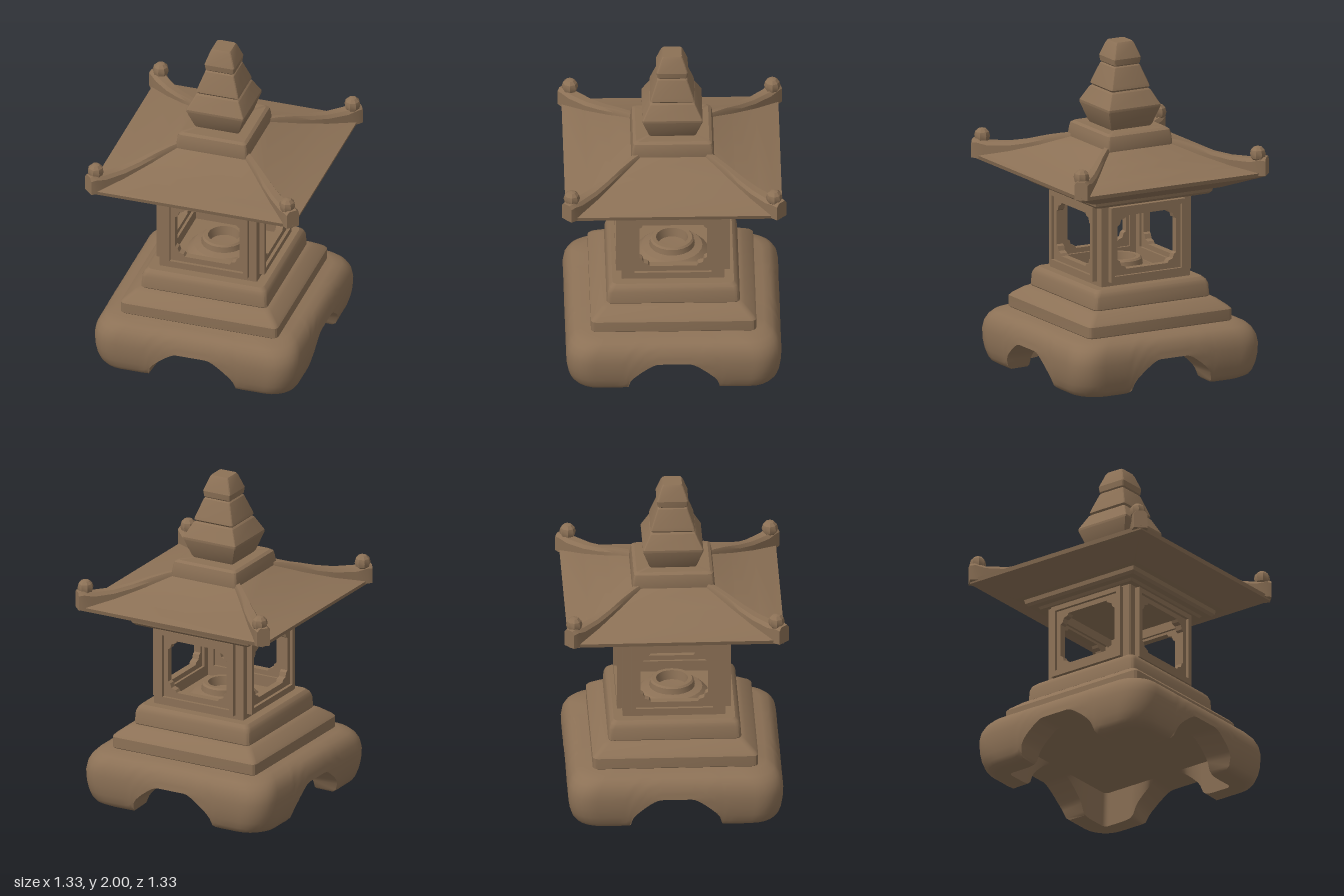
import * as THREE from 'three';
import { toCreasedNormals } from 'three/addons/utils/BufferGeometryUtils.js';

const stone = new THREE.MeshStandardMaterial({ color: 0x8c7156 });
stone.name = 'stone';

function part(name, geometry, crease = 0.5) {
  const mesh = new THREE.Mesh(toCreasedNormals(geometry, crease), stone);
  mesh.name = name;
  return mesh;
}

// Piecewise-linear lookup in [[x, y], ...]
function lookup(table, x) {
  if (x <= table[0][0]) return table[0][1];
  for (let i = 1; i < table.length; i++) {
    const [x0, y0] = table[i - 1], [x1, y1] = table[i];
    if (x <= x1) return y0 + (y1 - y0) * (x - x0) / (x1 - x0);
  }
  return table[table.length - 1][1];
}

// Rounded square outline, counter-clockwise from above, as [x, z]
function outline(hx, hz, r, arc = 3, side = 1) {
  const pts = [], sx = [1, -1, -1, 1], sz = [-1, -1, 1, 1];
  const at = (k, t) => {
    const a = (k + t) * Math.PI / 2;
    return [sx[k] * (hx - r) + r * Math.cos(a), sz[k] * (hz - r) - r * Math.sin(a)];
  };
  for (let k = 0; k < 4; k++) {
    for (let i = 0; i <= arc; i++) pts.push(at(k, i / arc));
    const p = at(k, 1), q = at((k + 1) % 4, 0);
    for (let i = 1; i < side; i++) {
      const t = i / side;
      pts.push([p[0] + (q[0] - p[0]) * t, p[1] + (q[1] - p[1]) * t]);
    }
  }
  return pts;
}

// Closed skin over a list of rings of [x, y, z], with end caps
function skin(rings) {
  const n = rings[0].length, pos = rings.flat(2), index = [];
  const last = rings.length - 1;
  for (let i = 0; i < last; i++) for (let j = 0; j < n; j++) {
    const k = (j + 1) % n, a = i * n + j, b = i * n + k, c = b + n, d = a + n;
    index.push(a, b, c, a, c, d);
  }
  for (const i of [0, last]) {
    const c = pos.length / 3;
    for (let m = 0; m < 3; m++) pos.push(rings[i].reduce((s, p) => s + p[m], 0) / n);
    for (let j = 0; j < n; j++) {
      const a = i * n + j, b = i * n + (j + 1) % n;
      if (i === 0) index.push(c, b, a); else index.push(c, a, b);
    }
  }
  const g = new THREE.BufferGeometry();
  g.setAttribute('position', new THREE.Float32BufferAttribute(pos, 3));
  g.setIndex(index);
  return g;
}

// Square tier from [half width, y] rows; dz widens the depth
const tier = (rows, r, dz = 0) => skin(rows.map(([h, y]) =>
  outline(h, h + dz, r).map(([x, z]) => [x, y, z])));

// Hollow footed base, arched on each side
function baseGeometry() {
  const bulge = [[0, 0.57], [0.02, 0.605], [0.06, 0.622], [0.12, 0.634], [0.2, 0.638],
    [0.26, 0.628], [0.3, 0.605], [0.32, 0.58], [0.335, 0.54]];
  const arch = [[0.1, 0.2], [0.14, 0.18], [0.2, 0.135], [0.25, 0.09], [0.275, 0.05], [0.285, 0.02], [0.31, 0.005], [0.36, 0]];
  const ring = (h, r) => outline(h, h, r, 6, 44);
  const bottom = ring(0.63, 0.15).map(([x, z]) => lookup(arch, Math.min(Math.abs(x), Math.abs(z))));
  const inner = ring(0.47, 0.03);
  const rings = [
    ring(0.3, 0.03).map(([x, z]) => [x, 0.205, z]),
    inner.map(([x, z]) => [x * 0.96, 0.205, z * 0.96]),
    inner.map(([x, z], j) => [x, bottom[j], z]),
  ];
  for (const k of [0, 0.05, 0.12, 0.25, 0.4, 0.6, 0.75, 0.86, 0.94, 1]) {
    rings.push(bottom.map((b, j) => {
      const y = b + (0.335 - b) * k;
      const [x, z] = ring(lookup(bulge, y), 0.15)[j];
      return [x, y, z];
    }));
  }
  return skin(rings);
}

// Closed loop around a window centre; notch gives shaped corners
function windowLoop(Type, w, y0, y1, notch = 0) {
  const loop = new Type(), cy = (y0 + y1) / 2, h = (y1 - y0) / 2, pts = [];
  const corner = notch
    ? [[w, h - notch], [w - notch * 0.25, h - notch * 0.85], [w - notch * 0.4, h - notch * 0.4],
      [w - notch * 0.85, h - notch * 0.25], [w - notch, h]]
    : [[w, h]];
  [[1, 1], [-1, 1], [-1, -1], [1, -1]].forEach(([sx, sy], k) => {
    const c = k % 2 ? [...corner].reverse() : corner;
    c.forEach(([x, y]) => pts.push(new THREE.Vector2(sx * x, cy + sy * y)));
  });
  return loop.setFromPoints(pts);
}

function framePlate(outer, hole, z0, z1) {
  const shape = windowLoop(THREE.Shape, ...outer);
  shape.holes.push(windowLoop(THREE.Path, ...hole));
  return new THREE.ExtrudeGeometry(shape, { depth: z1 - z0, bevelEnabled: false }).translate(0, 0, z0);
}

// Hip ridge along the diagonal: [x = z, half width, bottom, top]
function ridgeGeometry() {
  const rows = [[0.19, 0.022, 1.35, 1.42], [0.25, 0.022, 1.34, 1.41], [0.32, 0.024, 1.31, 1.39],
    [0.4, 0.03, 1.28, 1.36], [0.48, 0.036, 1.26, 1.34], [0.57, 0.042, 1.24, 1.335],
    [0.615, 0.046, 1.235, 1.35], [0.637, 0.04, 1.235, 1.345]];
  const s = Math.SQRT1_2;
  return skin(rows.map(([d, w, lo, hi]) =>
    [[-w, lo], [w, lo], [w, hi - 0.02], [w * 0.6, hi], [-w * 0.6, hi], [-w, hi - 0.02]]
      .map(([p, y]) => [d + p * s, y, d - p * s])));
}

export function createModel() {
  const model = new THREE.Group();
  model.name = 'stoneLantern';

  // Base and steps
  model.add(part('footedBase', baseGeometry(), 0.7));
  model.add(part('lowerStep', tier([[0.475, 0.325], [0.49, 0.34], [0.49, 0.405], [0.478, 0.42],
    [0.425, 0.462], [0.4, 0.475]], 0.03)));
  model.add(part('upperStep', tier([[0.385, 0.465], [0.395, 0.48], [0.39, 0.55], [0.38, 0.575],
    [0.36, 0.593]], 0.03)));

  // Lamp house walls with framed windows
  const house = new THREE.Group();
  house.name = 'lampHouse';
  const wall = framePlate([0.3, 0.59, 1.1], [0.22, 0.66, 1.03], 0.26, 0.305);
  const outerFrame = framePlate([0.255, 0.62, 1.075], [0.228, 0.655, 1.045], 0.3, 0.337);
  const innerFrame = framePlate([0.23, 0.65, 1.05], [0.2, 0.69, 1.015, 0.06], 0.275, 0.318);
  for (let k = 0; k < 4; k++) {
    const side = new THREE.Group();
    side.name = 'windowSide';
    side.add(part('wall', wall), part('outerFrame', outerFrame), part('innerFrame', innerFrame));
    side.rotation.y = k * Math.PI / 2;
    house.add(side);
  }
  model.add(house);

  // Lamp dish on the floor inside
  const dish = [[0.22, 0.59], [0.18, 0.63], [0.135, 0.64], [0.13, 0.675], [0.12, 0.685],
    [0.095, 0.685], [0.085, 0.63], [0, 0.625]].map(([x, y]) => new THREE.Vector2(x, y));
  model.add(part('lampDish', new THREE.LatheGeometry(dish, 24)));

  // Roof with eaves
  model.add(part('roof', tier([[0.335, 1.085], [0.345, 1.1], [0.385, 1.1], [0.4, 1.115], [0.405, 1.14],
    [0.44, 1.143], [0.632, 1.226], [0.638, 1.25], [0.5, 1.287], [0.36, 1.337], [0.22, 1.4]], 0.008, 0.004), 0.3));

  // Corner ridges and knobs
  const ridge = ridgeGeometry();
  const knob = new THREE.SphereGeometry(0.049, 8, 6).translate(0.592, 1.362, 0.606);
  for (let k = 0; k < 4; k++) {
    const corner = new THREE.Group();
    corner.name = 'roofCorner';
    corner.add(part('ridge', ridge), part('knob', knob));
    corner.rotation.y = k * Math.PI / 2;
    model.add(corner);
  }

  // Cap and stacked finial
  model.add(part('roofCap', tier([[0.222, 1.385], [0.224, 1.4], [0.218, 1.455], [0.212, 1.48],
    [0.195, 1.492]], 0.02, 0.022)));
  model.add(part('lowerFinial', tier([[0.13, 1.485], [0.142, 1.505], [0.178, 1.61], [0.178, 1.625],
    [0.135, 1.71], [0.12, 1.722]], 0.01), 0.4));
  model.add(part('middleFinial', tier([[0.12, 1.715], [0.132, 1.73], [0.127, 1.75], [0.09, 1.855],
    [0.08, 1.865]], 0.012), 0.4));
  model.add(part('topFinial', tier([[0.078, 1.858], [0.09, 1.87], [0.094, 1.905], [0.066, 1.985],
    [0.057, 2]], 0.014), 0.4));
  return model;
}
